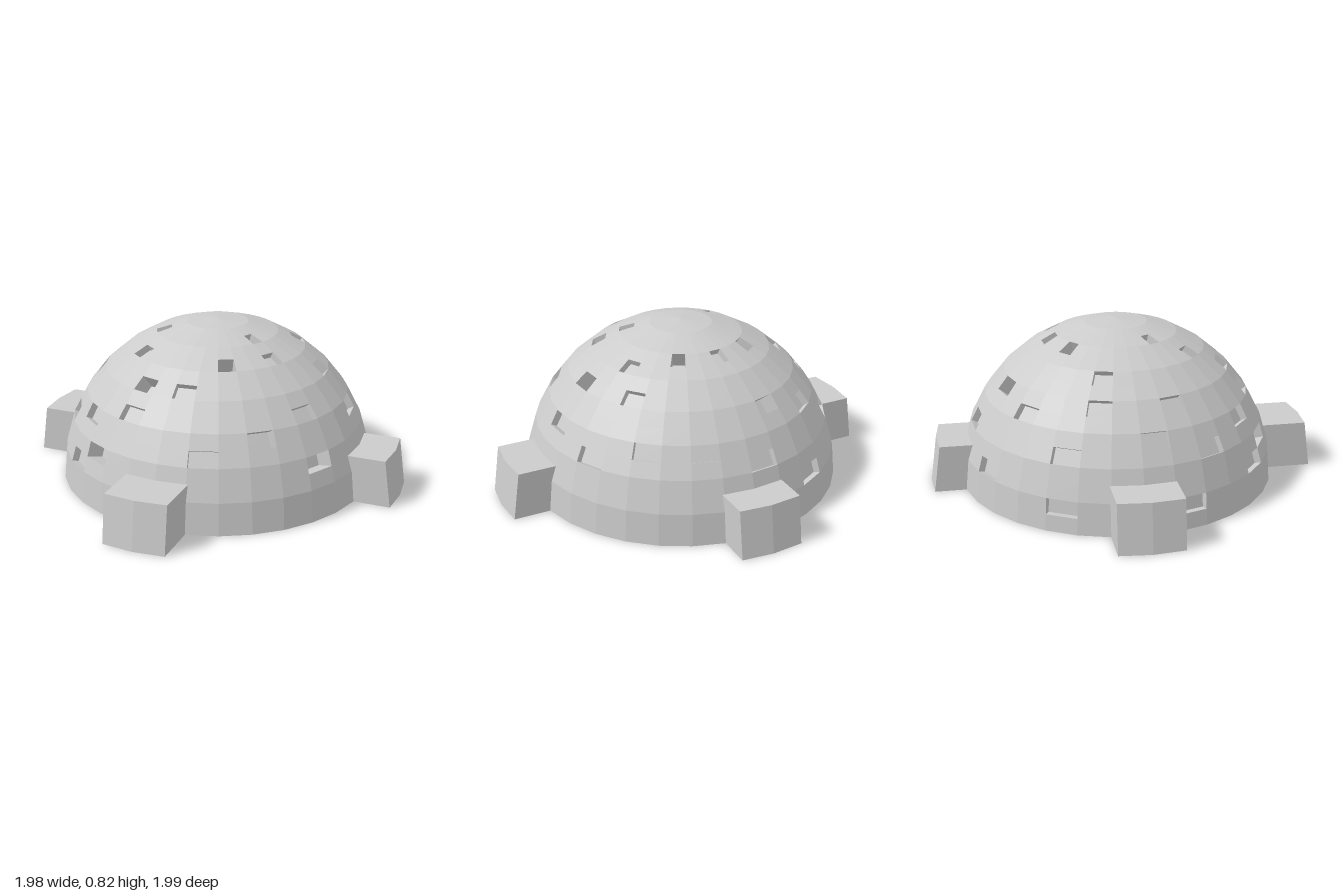
import * as THREE from 'three';

const COLS = 32, ROWS = 16;            // half-band rows: two rows per flat facet
const R = 0.808, H = 0.82, CENTRE_Z = -0.035;
const STEP = (Math.PI * 2) / COLS;

const mat = new THREE.MeshStandardMaterial({ color: 0xcccccc, flatShading: true });
const matDouble = new THREE.MeshStandardMaterial({ color: 0xcccccc, flatShading: true, side: THREE.DoubleSide });

// Windows as [column, row]; column 0 starts at the front and counts toward +x
const SHALLOW = [
  [-4, 2], [-4, 5], [-2, 6], [0, 8], [1, 4], [5, 6], [-4, 10], [-6, 4], [-7, 1], [-7, 7],
  [5, 10], [-14, 2], [-16, 4], [14, 5], [12, 5], [-13, 6], [-11, 4], [-11, 1], [-10, 7],
  [-10, 9], [-16, 11], [11, 8], [10, 10], [10, 4], [8, 5], [-8, 5],
];
const DEEP = [[-3, 3], [-2, 8], [3, 5], [5, 3], [2, 10], [-15, 7], [-13, 11], [13, 11], [5, 12], [-6, 12], [8, 8]];

// Point at radius r on the spoke of column c
const polar = (r, c, y = 0) => new THREE.Vector3(r * Math.sin(c * STEP), y, r * Math.cos(c * STEP));

// Point on the faceted dome; odd rows lie midway on a flat facet
function domePoint(c, k) {
  if (k % 2) return domePoint(c, k - 1).lerp(domePoint(c, k + 1), 0.5);
  const lat = (k / ROWS) * Math.PI / 2;
  return polar(R * Math.cos(lat), c, H * Math.sin(lat));
}

function quad(out, a, b, c, d) {
  for (const p of [a, b, c, a, c, d]) out.push(p.x, p.y, p.z);
}

function meshFrom(positions, name, material = mat) {
  const g = new THREE.BufferGeometry();
  g.setAttribute('position', new THREE.Float32BufferAttribute(positions, 3));
  g.computeVertexNormals();
  const m = new THREE.Mesh(g, material);
  m.name = name;
  return m;
}

function buildDome() {
  const depths = new Map();
  const key = (c, k) => ((c + COLS) % COLS) + ':' + k;
  SHALLOW.forEach(([c, k]) => depths.set(key(c, k), 0.035));
  DEEP.forEach(([c, k]) => depths.set(key(c, k), 0.09));

  const shell = [], recesses = [];
  for (let c = 0; c < COLS; c++) {
    for (let k = 0; k < ROWS; k++) {
      const p = [domePoint(c, k), domePoint(c + 1, k), domePoint(c + 1, k + 1), domePoint(c, k + 1)];
      const depth = depths.get(key(c, k));
      if (k === ROWS - 1) {
        for (const v of [p[0], p[1], p[2]]) shell.push(v.x, v.y, v.z);
      } else if (depth === undefined) {
        quad(shell, ...p);
      } else {
        // push the pane straight in and line the opening with four walls
        const n = p[1].clone().sub(p[0]).cross(p[3].clone().sub(p[0])).normalize();
        const q = p.map(v => v.clone().addScaledVector(n, -depth));
        quad(recesses, ...q);
        for (let i = 0; i < 4; i++) {
          const j = (i + 1) % 4;
          quad(recesses, p[i], p[j], q[j], q[i]);
        }
      }
    }
  }
  return [meshFrom(shell, 'domeShell'), meshFrom(recesses, 'windowRecesses')];
}

// Entrance porch with a leaning, slightly bent outer face
function buildPorch(reach) {
  const inner = 0.72, height = 0.24;
  const g = new THREE.BoxGeometry(0.315, height, 1, 2, 1, 1);
  g.translate(0, height / 2, 0);
  const p = g.attributes.position;
  for (let i = 0; i < p.count; i++) {
    const lean = p.getY(i) > 0.1 ? 0.035 : 0;
    const bend = Math.abs(p.getX(i)) > 0.01 ? 0.015 : 0;
    p.setZ(i, p.getZ(i) > 0 ? reach - lean - bend : inner);
  }
  const flat = g.toNonIndexed();
  flat.computeVertexNormals();
  return new THREE.Mesh(flat, mat);
}

// Underside with four curved slots and a shallow round recess
function buildBase() {
  const base = new THREE.Group();
  base.name = 'base';
  const rIn = 0.5, rOut = 0.68, span = 4, discR = 0.33, discDepth = 0.02;
  const flat = v => new THREE.Vector2(v.x, v.z);
  const ring = r => Array.from({ length: COLS }, (_, c) => flat(polar(r, c)));

  const shape = new THREE.Shape(ring(R));
  shape.holes.push(new THREE.Path(ring(discR)));
  const slots = [];
  for (let s = 0; s < 4; s++) {
    const c0 = s * 8 + 2, outline = [];
    for (let i = 0; i <= span; i++) outline.push(flat(polar(rOut, c0 + i)));
    for (let i = span; i >= 0; i--) outline.push(flat(polar(rIn, c0 + i)));
    shape.holes.push(new THREE.Path(outline));

    const h = 0.16;
    for (let i = 0; i < span; i++) {
      const a = c0 + i, b = a + 1;
      for (const r of [rIn, rOut]) quad(slots, polar(r, a), polar(r, b), polar(r, b, h), polar(r, a, h));
      quad(slots, polar(rIn, a, h), polar(rIn, b, h), polar(rOut, b, h), polar(rOut, a, h));
    }
    for (const c of [c0, c0 + span]) quad(slots, polar(rIn, c), polar(rOut, c), polar(rOut, c, h), polar(rIn, c, h));
  }

  const floor = new THREE.Mesh(new THREE.ShapeGeometry(shape).rotateX(Math.PI / 2), mat);
  floor.name = 'underside';
  const disc = new THREE.Mesh(new THREE.CircleGeometry(discR, COLS).rotateX(Math.PI / 2), mat);
  disc.position.y = discDepth;
  disc.name = 'recessDisc';
  const rim = new THREE.Mesh(new THREE.CylinderGeometry(discR, discR, discDepth, COLS, 1, true), matDouble);
  rim.position.y = discDepth / 2;
  rim.name = 'recessRim';
  base.add(floor, disc, rim, meshFrom(slots, 'undersideSlots', matDouble));
  return base;
}

export function createModel() {
  const model = new THREE.Group();
  model.name = 'domeBuilding';
  const body = new THREE.Group();
  body.name = 'body';
  body.position.z = CENTRE_Z;
  body.add(...buildDome(), buildBase());

  const porches = [['frontPorch', 1.03], ['leftPorch', 0.99], ['backPorch', 0.965], ['rightPorch', 0.99]];
  porches.forEach(([name, reach], i) => {
    const porch = buildPorch(reach);
    porch.name = name;
    porch.rotation.y = i * Math.PI / 2;
    body.add(porch);
  });
  model.add(body);
  return model;
}
